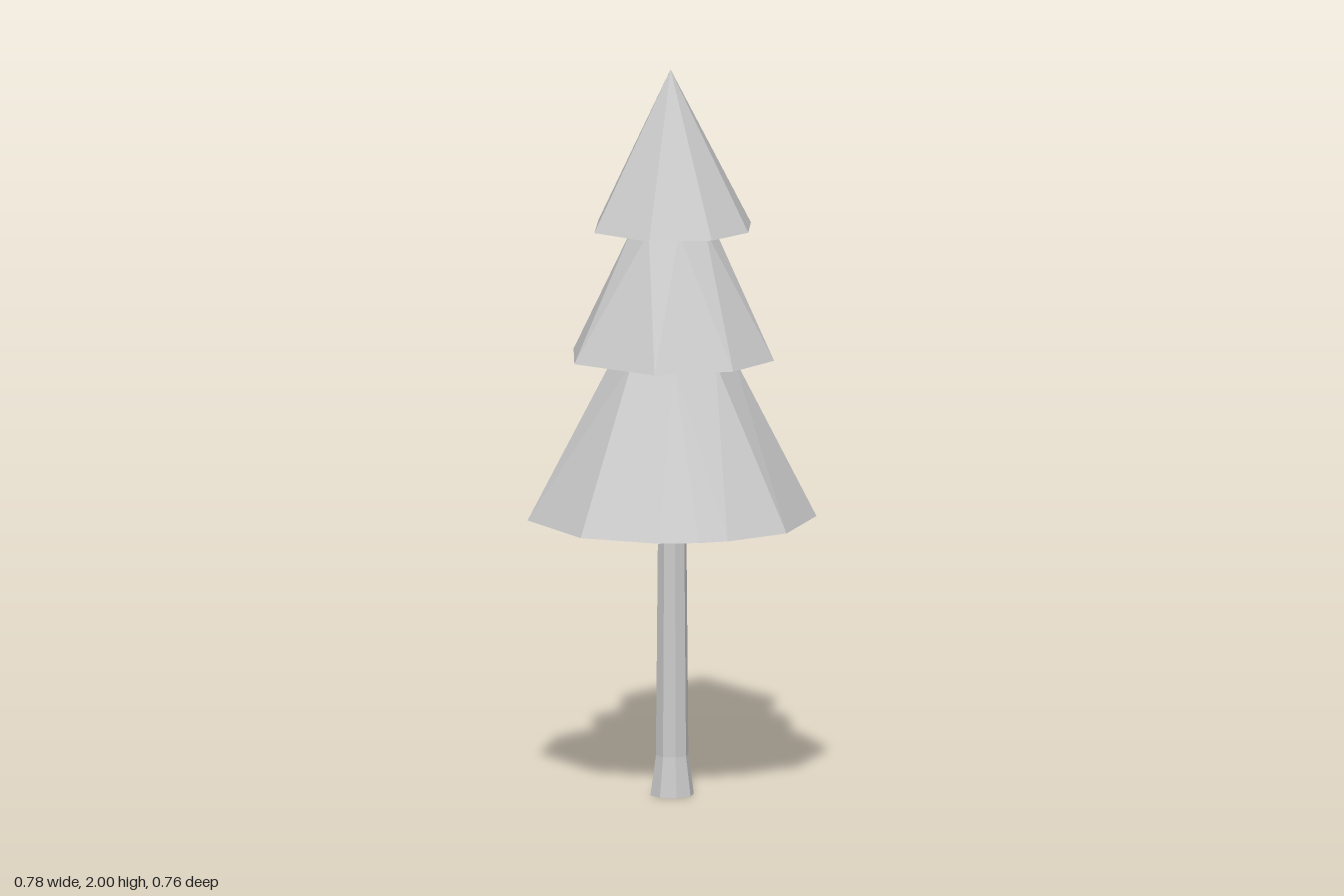
import * as THREE from 'three';
import { ConvexGeometry } from 'three/addons/geometries/ConvexGeometry.js';

const material = new THREE.MeshStandardMaterial({ color: 0xcccccc, flatShading: true });

// Points of a flat outline given as [x, z] pairs, at height y
const ring = (outline, y) => outline.map(([x, z]) => new THREE.Vector3(x, y, z));

// Regular polygon outline
const polygon = (sides, radius, cx, cz, turn) =>
  Array.from({ length: sides }, (_, i) => {
    const a = turn + (i / sides) * Math.PI * 2;
    return [cx + radius * Math.cos(a), cz + radius * Math.sin(a)];
  });

export function createModel() {
  const tree = new THREE.Group();
  tree.name = 'pineTree';

  const add = (name, geometry) => {
    const mesh = new THREE.Mesh(geometry, material);
    mesh.name = name;
    tree.add(mesh);
    return mesh;
  };

  // Trunk with a flared foot
  const profile = [[0, 0], [0.06, 0], [0.045, 0.11], [0.039, 0.77]];
  const trunk = add('trunk', new THREE.LatheGeometry(
    profile.map(([r, y]) => new THREE.Vector2(r, y)), 8));
  trunk.position.x = 0.003;

  // Foliage tiers: irregular skirt outline narrowing to a crown
  const tiers = [
    {
      name: 'lowerFoliage', bottom: 0.765, top: 1.212,
      skirt: [[-0.12, -0.38], [0.18, -0.36], [0.36, -0.165], [0.39, 0.06], [0.26, 0.29], [0.08, 0.37],
        [0, 0.378], [-0.11, 0.365], [-0.3, 0.243], [-0.39, -0.035], [-0.3, -0.248]],
      crown: polygon(8, 0.16, 0.008, -0.005, 0.2),
    },
    {
      name: 'middleFoliage', bottom: 1.21, top: 1.567,
      skirt: [[-0.06, -0.29], [0.18, -0.235], [0.28, -0.07], [0.26, 0.122], [0.12, 0.253],
        [-0.1, 0.265], [-0.28, 0.06], [-0.237, -0.16]],
      crown: polygon(8, 0.11, 0.006, -0.007, 0.05),
    },
    {
      name: 'upperFoliage', bottom: 1.565, top: 2,
      skirt: [[0, -0.235], [0.16, -0.165], [0.227, -0.03], [0.19, 0.115], [0.07, 0.208],
        [-0.1, 0.19], [-0.22, 0.037], [-0.17, -0.15]],
      crown: [[0, -0.007]],
    },
  ];
  for (const { name, bottom, top, skirt, crown } of tiers) {
    add(name, new ConvexGeometry([...ring(skirt, bottom), ...ring(crown, top)]));
  }

  return tree;
}
